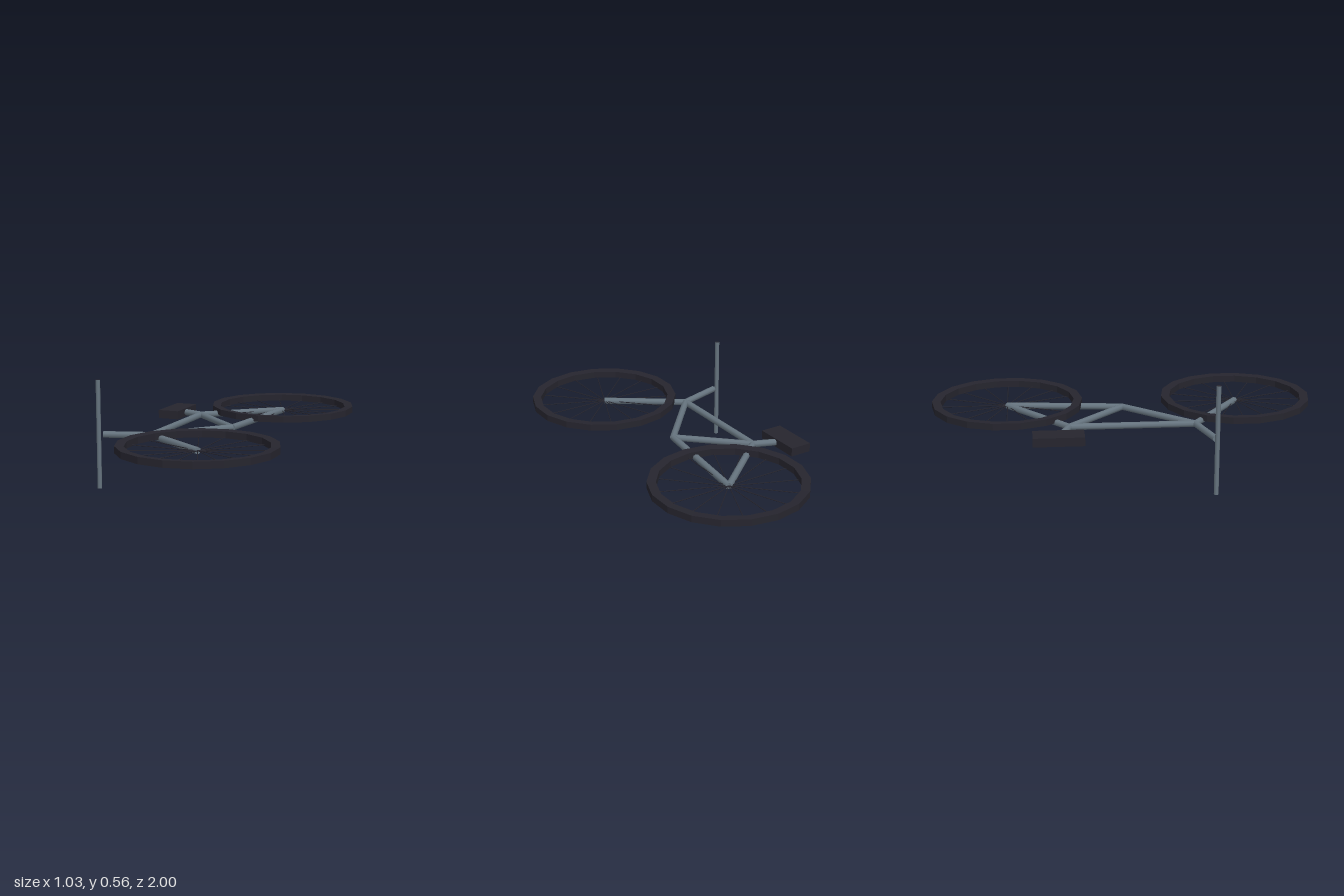
import * as THREE from 'three';

const frameMat = new THREE.MeshStandardMaterial({ color: 0x66747f });
frameMat.name = 'steel grey';
const rubberMat = new THREE.MeshStandardMaterial({ color: 0x26252e });
rubberMat.name = 'dark rubber';

const FRAME_Y = 0.2815;
const HUB_X = 0.123, HUB_Z = 0.605;

// Round bar between two points
function bar(name, a, b, radius, material, sides = 8) {
  const dir = b.clone().sub(a);
  const mesh = new THREE.Mesh(new THREE.CylinderGeometry(radius, radius, dir.length(), sides), material);
  mesh.position.copy(a).add(b).multiplyScalar(0.5);
  mesh.quaternion.setFromUnitVectors(new THREE.Vector3(0, 1, 0), dir.normalize());
  mesh.name = name;
  return mesh;
}

// Faceted tyre with thin spokes, lying flat
function makeWheel(name) {
  const wheel = new THREE.Group();
  wheel.name = name;
  const profile = [[0.35, -0.02], [0.395, -0.016], [0.395, 0.018], [0.35, 0.015], [0.35, -0.02]]
    .map(([r, y]) => new THREE.Vector2(r, y));
  const geo = new THREE.LatheGeometry(profile, 18).toNonIndexed();
  geo.computeVertexNormals();
  const tyre = new THREE.Mesh(geo, rubberMat);
  tyre.name = 'tyre';
  wheel.add(tyre);
  // Spokes run into the frame tubes at the hub
  for (let i = 0; i < 16; i++) {
    const t = (i / 16) * Math.PI * 2;
    const hub = new THREE.Vector3(0, -0.0145, 0);
    const rim = new THREE.Vector3(Math.cos(t) * 0.355, -0.0145, Math.sin(t) * 0.355);
    wheel.add(bar('spoke', hub, rim, 0.0023, rubberMat, 6));
  }
  return wheel;
}

export function createModel() {
  const bike = new THREE.Group();
  bike.name = 'bicycle';

  // Wheels
  for (const [name, z] of [['frontWheel', HUB_Z], ['rearWheel', -HUB_Z]]) {
    const wheel = makeWheel(name);
    wheel.position.set(HUB_X, 0.297, z);
    bike.add(wheel);
  }

  // Frame joints in the plane of the bicycle
  const p = (x, z) => new THREE.Vector3(x, FRAME_Y, z);
  const seatJoint = p(-0.245, -0.292), headJoint = p(-0.245, 0.345), crank = p(0.057, -0.003);
  const rearHub = p(HUB_X, -HUB_Z), frontHub = p(HUB_X, HUB_Z);
  const tubes = [
    ['topTube', seatJoint, headJoint],
    ['downTube', headJoint, crank],
    ['seatTube', seatJoint, crank],
    ['seatStay', seatJoint, rearHub],
    ['chainStay', crank, rearHub],
    ['fork', headJoint, frontHub],
    ['seatPost', seatJoint, p(-0.38, -0.345)],
    ['stem', headJoint, p(-0.478, 0.415)],
  ];
  for (const [name, a, b] of tubes) bike.add(bar(name, a, b, 0.0175, frameMat));

  // Handlebar across the bicycle, with dark end caps
  bike.add(bar('handlebar', new THREE.Vector3(-0.503, 0, 0.418),
    new THREE.Vector3(-0.503, 0.56, 0.418), 0.012, [frameMat, rubberMat, rubberMat]));

  // Saddle
  const saddle = new THREE.Mesh(new THREE.BoxGeometry(0.116, 0.045, 0.255), rubberMat);
  saddle.position.set(-0.411, 0.281, -0.351);
  saddle.name = 'saddle';
  bike.add(saddle);

  return bike;
}
